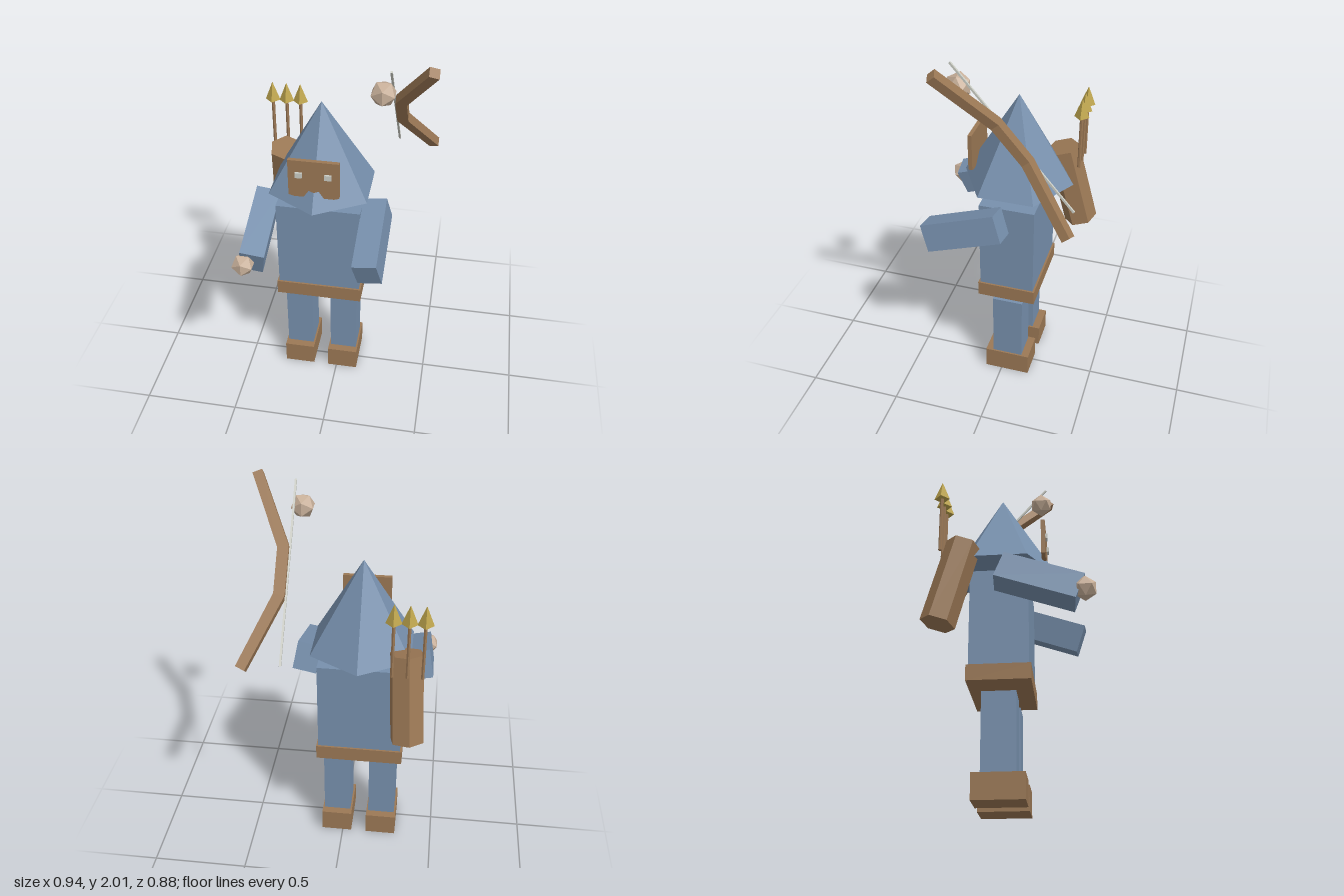
import * as THREE from 'three';

export function createModel() {
  const model = new THREE.Group();
  const mat = (name, color) => {
    const m = new THREE.MeshStandardMaterial({ color, flatShading: true });
    m.name = name;
    return m;
  };
  const cloth = mat('blue cloth', 0x7790ad);
  const leather = mat('brown leather', 0x9b7855);
  const skin = mat('pale skin', 0xc8b09a);
  const brass = mat('brass', 0xbfa64e);
  const pale = mat('pale grey', 0xcccec6);

  const CX = -0.09, CZ = -0.033; // body axis

  const add = (name, geometry, material, x, y, z) => {
    const mesh = new THREE.Mesh(geometry, material);
    mesh.name = name;
    mesh.position.set(x, y, z);
    model.add(mesh);
    return mesh;
  };
  const box = (w, h, d) => new THREE.BoxGeometry(w, h, d);

  // Torso, belt and pointed six-sided hood
  add('torso', box(0.435, 0.54, 0.29), cloth, CX, 0.865, CZ);
  add('belt', box(0.455, 0.08, 0.31), leather, CX, 0.595, CZ);
  add('hood', new THREE.ConeGeometry(0.288, 0.47, 6), cloth, CX, 1.44, CZ - 0.003);

  // Mirrored limbs and eyes
  for (const [side, s] of [['left', 1], ['right', -1]]) {
    add(side + 'Boot', box(0.165, 0.125, 0.248), leather, CX + s * 0.124, 0.0625, CZ);
    add(side + 'Leg', box(0.146, 0.385, 0.165), cloth, CX + s * 0.124, 0.3175, CZ);
    const arm = add(side + 'Arm', box(0.124, 0.148, 0.41), cloth, CX + s * 0.29, 1.023, 0.168);
    arm.rotation.set(0.335, 0, s * 0.175);
    add(side + 'Eye', box(0.034, 0.028, 0.012), pale, CX + s * 0.072, 1.397, 0.199);
  }

  // Face mask with a notch in its lower edge
  const half = [[0.125, 0.205], [0.125, 0.008], [0.1, 0], [0.05, 0], [0.025, 0.038], [0, 0.028]];
  const outline = [...half, ...half.slice(0, -1).reverse().map(([x, y]) => [-x, y])];
  const maskShape = new THREE.Shape(outline.map(([x, y]) => new THREE.Vector2(x, y)));
  add('mask', new THREE.ExtrudeGeometry(maskShape, { depth: 0.021, bevelEnabled: false }),
    leather, CX, 1.27, 0.173);

  // Faceted hands
  add('rightHand', new THREE.IcosahedronGeometry(0.06, 0), skin, -0.415, 0.96, 0.387);
  add('bowHand', new THREE.IcosahedronGeometry(0.063, 0), skin, 0.228, 1.848, 0.157);

  // Bow: angular stave with a straight string, tipped forward
  const bow = new THREE.Group();
  bow.name = 'bow';
  bow.position.set(0, 1.629, -0.11);
  bow.rotation.x = 0.71;
  const limb = [[0.265, 0.12], [0.425, 0.485], [0.47, 0.465], [0.32, 0.11]];
  const bowOutline = [...limb, ...limb.map(([x, y]) => [x, -y]).reverse()];
  const bowShape = new THREE.Shape(bowOutline.map(([x, y]) => new THREE.Vector2(x, y)));
  const staveGeo = new THREE.ExtrudeGeometry(bowShape, { depth: 0.046, bevelEnabled: false });
  const stave = new THREE.Mesh(staveGeo.translate(0, 0, -0.023), leather);
  stave.name = 'bowStave';
  const string = new THREE.Mesh(box(0.01, 0.9, 0.01), pale);
  string.name = 'bowString';
  string.position.x = 0.262;
  bow.add(stave, string);
  model.add(bow);

  // Quiver: six-sided tube leaning from its bottom centre to its top centre
  const bottom = new THREE.Vector3(-0.343, 0.837, -0.325);
  const top = new THREE.Vector3(-0.318, 1.28, -0.212);
  const axis = top.clone().sub(bottom);
  const quiverGeo = new THREE.CylinderGeometry(0.088, 0.088, axis.length(), 6).rotateY(0.2);
  const mid = bottom.clone().add(top).multiplyScalar(0.5);
  const quiver = add('quiver', quiverGeo, leather, mid.x, mid.y, mid.z);
  quiver.quaternion.setFromUnitVectors(new THREE.Vector3(0, 1, 0), axis.normalize());

  // Three arrows standing at the back of the quiver
  for (const x of [-0.402, -0.329, -0.256]) {
    add('arrowShaft', new THREE.CylinderGeometry(0.009, 0.009, 0.3, 6), leather, x, 1.36, -0.315);
    add('arrowHead', new THREE.ConeGeometry(0.039, 0.1, 4), brass, x, 1.556, -0.315);
  }

  return model;
}
